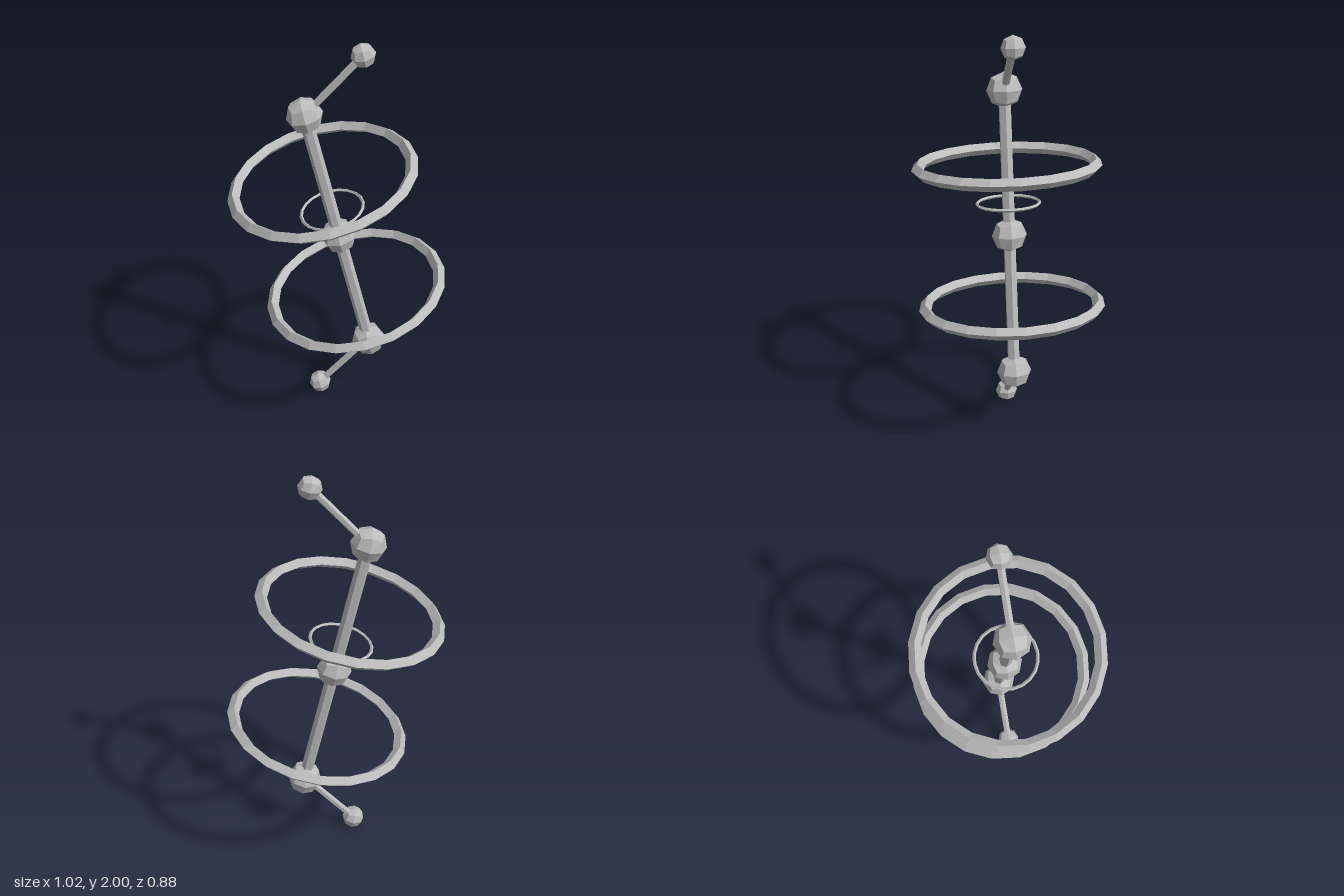
import * as THREE from 'three';

const gray = new THREE.MeshStandardMaterial({ color: 0xbbbbbb, flatShading: true });
gray.name = 'plain gray';

const TILT = 0.222; // lean of the main shaft

export function createModel() {
  const group = new THREE.Group();
  const add = (name, geometry, x, y, tilt) => {
    const mesh = new THREE.Mesh(geometry, gray);
    mesh.name = name;
    mesh.position.set(x, y, 0);
    mesh.rotation.z = tilt;
    group.add(mesh);
    return mesh;
  };

  // Faceted ball: a subdivided cube pushed out to a sphere
  const ball = (name, x, y, r, tilt) => {
    const g = new THREE.BoxGeometry(1, 1, 1, 2, 2, 2);
    const p = g.attributes.position;
    const v = new THREE.Vector3();
    for (let i = 0; i < p.count; i++) {
      v.fromBufferAttribute(p, i).setLength(r);
      p.setXYZ(i, v.x, v.y, v.z);
    }
    g.computeVertexNormals();
    add(name, g, x, y, tilt);
  };

  // Six-sided rod between two points of the x-y plane
  const rod = (name, [x1, y1], [x2, y2], r) => {
    const length = Math.hypot(x2 - x1, y2 - y1);
    const g = new THREE.CylinderGeometry(r, r, length, 6, 1, false, Math.PI / 6);
    add(name, g, (x1 + x2) / 2, (y1 + y2) / 2, -Math.atan2(x2 - x1, y2 - y1));
  };

  // Ring of diamond section lying across the shaft
  const ring = (name, x, y, r, tube) => {
    const g = new THREE.TorusGeometry(r, tube, 4, 20);
    g.rotateX(Math.PI / 2);
    add(name, g, x, y, TILT - 0.01);
  };

  const foot = [-0.1, 0.055], lower = [0.145, 0.335];
  const upper = [-0.152, 1.665], tip = [0.1, 1.945];

  // Shaft and end arms
  rod('mainShaft', lower, upper, 0.03);
  rod('lowerArm', foot, lower, 0.018);
  rod('upperArm', upper, tip, 0.018);

  // Joints
  ball('lowerJoint', ...lower, 0.083, TILT);
  ball('middleJoint', -0.003, 1, 0.083, TILT);
  ball('upperJoint', ...upper, 0.083, TILT);
  ball('lowerEndBall', ...foot, 0.055, TILT);
  ball('upperEndBall', ...tip, 0.055, TILT);

  // Rings around the shaft
  ring('lowerRing', 0.078, 0.673, 0.413, 0.029);
  ring('upperRing', -0.078, 1.325, 0.413, 0.029);
  ring('smallRing', -0.034, 1.152, 0.146, 0.008);

  return group;
}
